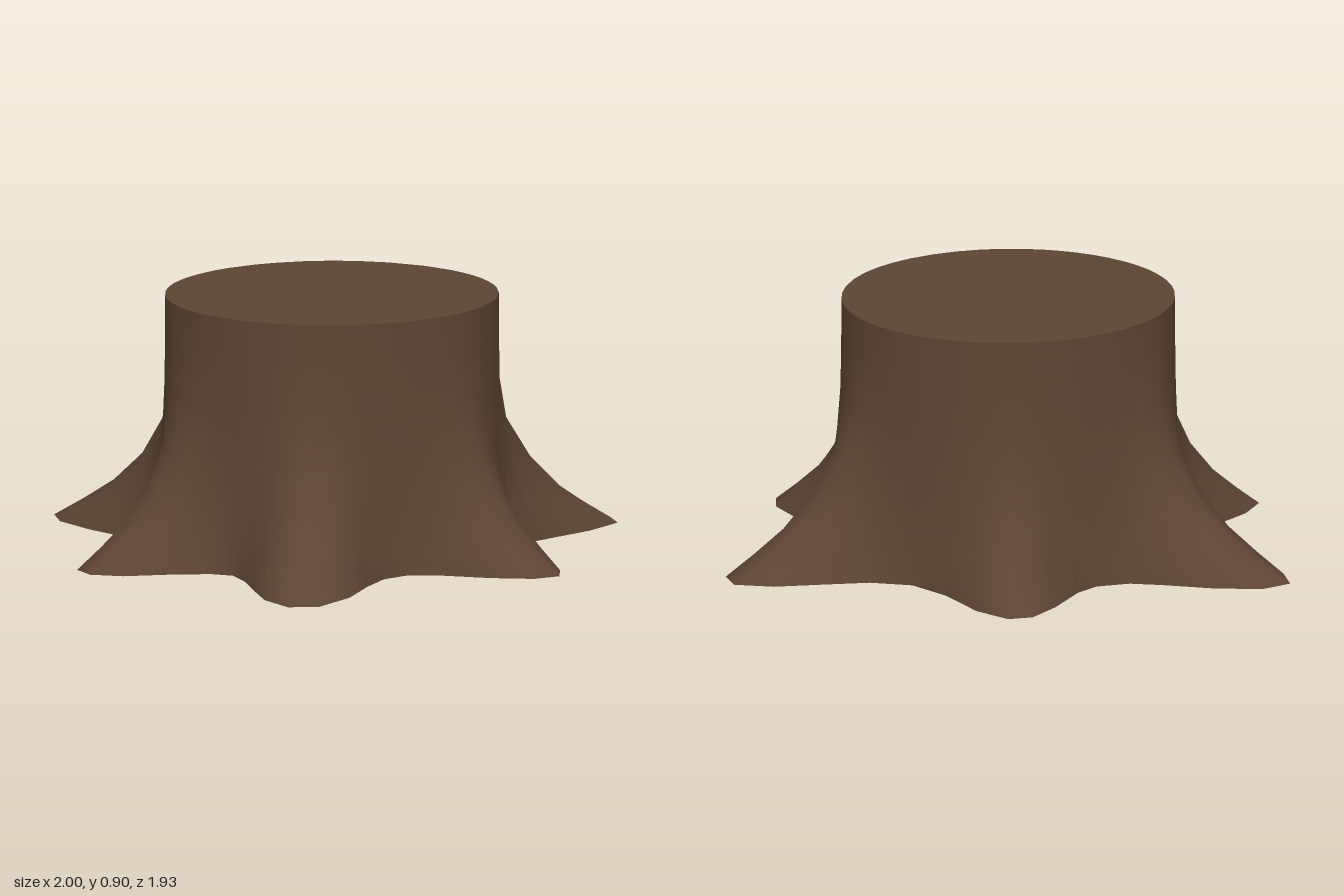
import * as THREE from 'three';

// Root outline on the ground, as x, z pairs running counter-clockwise seen from above
const OUTLINE = [
  1.0, -0.28, 0.99, -0.38, 0.86, -0.43, 0.68, -0.44, 0.52, -0.45, 0.38, -0.51, 0.29, -0.65, 0.22, -0.85,
  0.13, -0.965, 0.04, -0.96, -0.06, -0.86, -0.17, -0.71, -0.25, -0.65, -0.37, -0.64, -0.48, -0.68, -0.64, -0.75,
  -0.81, -0.795, -0.92, -0.75, -0.92, -0.63, -0.84, -0.47, -0.75, -0.34, -0.69, -0.22, -0.69, -0.13, -0.74, -0.07,
  -0.85, 0.02, -0.93, 0.09, -1.0, 0.2, -0.97, 0.29, -0.86, 0.335, -0.7, 0.335, -0.55, 0.35, -0.48, 0.39,
  -0.455, 0.5, -0.45, 0.65, -0.44, 0.82, -0.38, 0.955, -0.27, 0.965, -0.14, 0.83, -0.05, 0.66, 0.03, 0.54,
  0.12, 0.49, 0.24, 0.51, 0.4, 0.58, 0.55, 0.62, 0.645, 0.59, 0.665, 0.49, 0.62, 0.34, 0.56, 0.19,
  0.55, 0.1, 0.6, 0.03, 0.73, -0.06, 0.88, -0.16,
];

// Height and how far the section has flared from the cut top towards the root outline
const LEVELS = [[0, 1], [0.07, 0.78], [0.15, 0.55], [0.26, 0.33], [0.41, 0.14], [0.58, 0.045], [0.76, 0.01], [0.9, 0]];
const CUT = { x: -0.05, z: -0.072, rx: 0.585, rz: 0.553 };

export function createModel() {
  const group = new THREE.Group();
  group.name = 'treeStump';
  const bark = new THREE.MeshStandardMaterial({ color: 0x5c4433 });
  bark.name = 'brown bark';

  const base = [];
  for (let i = 0; i < OUTLINE.length; i += 2) base.push(new THREE.Vector2(OUTLINE[i], OUTLINE[i + 1]));

  // Each root point leads up to the point of the cut edge in the same direction
  const top = base.map((p) => {
    const a = Math.atan2(p.y - CUT.z, p.x - CUT.x);
    const r = 1 / Math.hypot(Math.cos(a) / CUT.rx, Math.sin(a) / CUT.rz);
    return new THREE.Vector2(CUT.x + r * Math.cos(a), CUT.z + r * Math.sin(a));
  });

  // Trunk flaring into the roots
  const n = base.length;
  const positions = [];
  const indices = [];
  LEVELS.forEach(([y, flare], i) => {
    for (let j = 0; j < n; j++) {
      const p = top[j].clone().lerp(base[j], flare);
      positions.push(p.x, y, p.y);
      if (i === LEVELS.length - 1) continue;
      const a = i * n + j;
      const b = i * n + (j + 1) % n;
      indices.push(a, b, a + n, b, b + n, a + n);
    }
  });
  const trunk = new THREE.BufferGeometry();
  trunk.setAttribute('position', new THREE.Float32BufferAttribute(positions, 3));
  trunk.setIndex(indices);
  trunk.computeVertexNormals();

  // Flat cut on top and flat underside
  const cut = new THREE.ShapeGeometry(new THREE.Shape(top.map((p) => new THREE.Vector2(p.x, -p.y))));
  cut.rotateX(-Math.PI / 2).translate(0, 0.9, 0);
  const underside = new THREE.ShapeGeometry(new THREE.Shape(base));
  underside.rotateX(Math.PI / 2);

  for (const [name, geometry] of Object.entries({ trunkAndRoots: trunk, cutTop: cut, underside })) {
    const mesh = new THREE.Mesh(geometry, bark);
    mesh.name = name;
    group.add(mesh);
  }
  return group;
}
